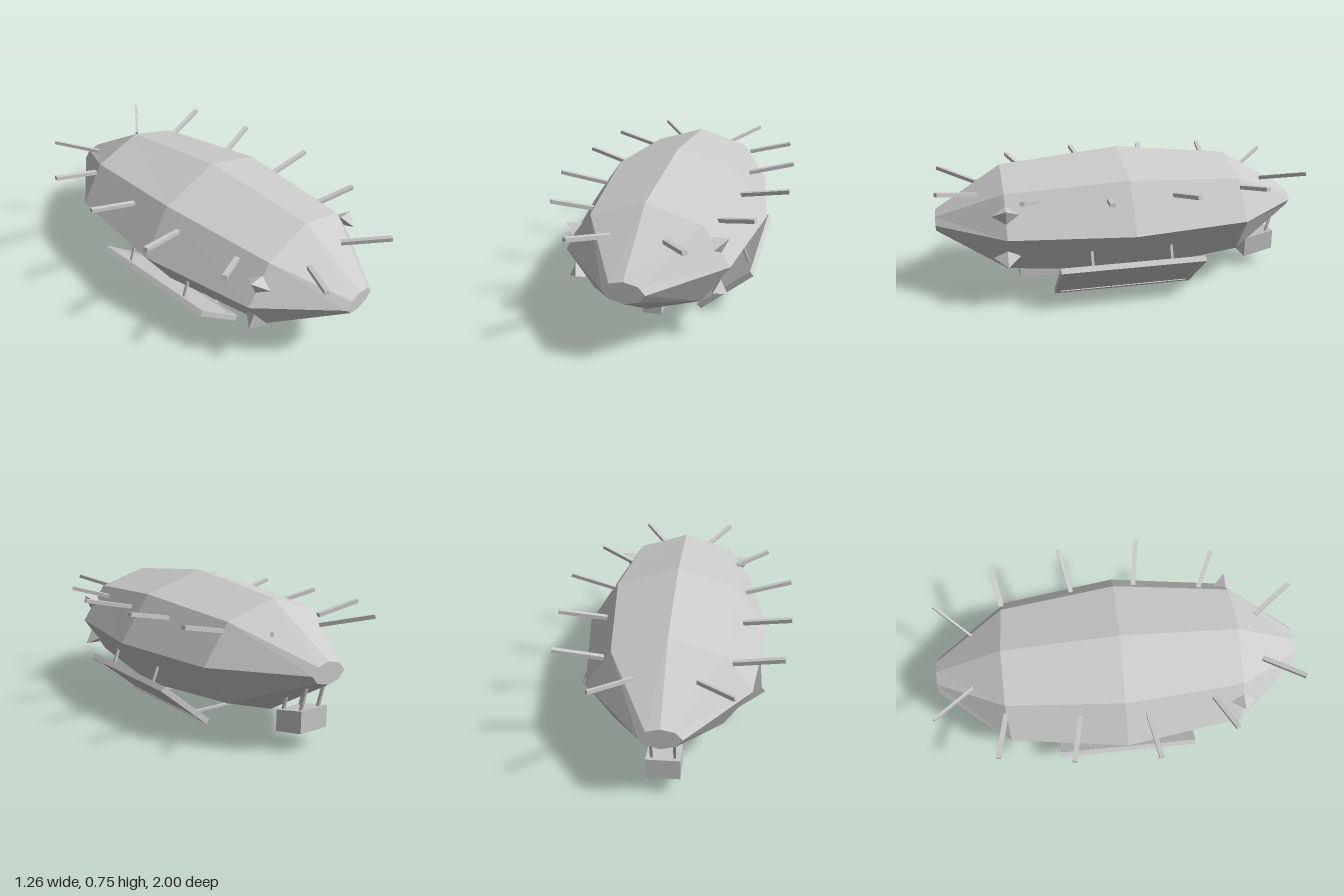
import * as THREE from 'three';

const mat = new THREE.MeshStandardMaterial({ color: 0xcccccc, flatShading: true, side: THREE.DoubleSide });

function add(parent, name, geometry, x = 0, y = 0, z = 0) {
  const mesh = new THREE.Mesh(geometry, mat);
  mesh.name = name;
  mesh.position.set(x, y, z);
  parent.add(mesh);
  return mesh;
}

// Straight box-section bar from a to b
function beam(parent, name, a, b, w, h) {
  const p = new THREE.Vector3(...a), q = new THREE.Vector3(...b);
  const mid = p.clone().add(q).multiplyScalar(0.5);
  const mesh = add(parent, name, new THREE.BoxGeometry(w, h, p.distanceTo(q)), mid.x, mid.y, mid.z);
  mesh.lookAt(q);
  return mesh;
}

// Faceted eight-sided hull lofted through five cross-sections, capped at both ends
function hullGeometry() {
  const section = [[1, 0], [0.67, 0.7], [0, 1], [-0.67, 0.7], [-1, 0], [-0.67, -0.7], [0, -1], [0.67, -0.7]];
  const rings = [ // z, half width, half height
    [-1, 0.1, 0.055], [-0.61, 0.41, 0.285], [0.015, 0.5, 0.35], [0.65, 0.41, 0.285], [1, 0.1, 0.055],
  ];
  const n = section.length, pos = [], index = [];
  for (const [z, w, h] of rings) for (const [x, y] of section) pos.push(x * w, 0.398 + y * h, z);
  for (let i = 0; i < rings.length - 1; i++) {
    for (let j = 0; j < n; j++) {
      const a = i * n + j, b = i * n + (j + 1) % n;
      index.push(a, b, b + n, a, b + n, a + n);
    }
  }
  const last = (rings.length - 1) * n;
  for (let j = 1; j < n - 1; j++) index.push(0, j + 1, j, last, last + j, last + j + 1);
  const g = new THREE.BufferGeometry();
  g.setAttribute('position', new THREE.Float32BufferAttribute(pos, 3));
  g.setIndex(index);
  const flat = g.toNonIndexed();
  flat.computeVertexNormals();
  return flat;
}

// Framed panel: recessed plate with a raised rim
function sidePanel(s) {
  const g = new THREE.Group();
  g.name = 'sidePanel';
  const L = 0.355, D = 0.76, rim = 0.024, t = 0.03;
  add(g, 'panelPlate', new THREE.BoxGeometry(L - rim, 0.02, D - rim));
  for (const e of [-1, 1]) {
    add(g, 'panelRim', new THREE.BoxGeometry(rim, t, D), e * (L - rim) / 2, 0, 0);
    add(g, 'panelRim', new THREE.BoxGeometry(L - 2 * rim, t, rim), 0, 0, e * (D - rim) / 2);
  }
  g.position.set(s * 0.344, 0.127, 0.02);
  g.rotation.z = s * 0.7;
  return g;
}

export function createModel() {
  const model = new THREE.Group();
  model.name = 'airship';
  add(model, 'hull', hullGeometry());

  // Poles along each flank: inner x, z and outer x, z, width
  const poles = [
    [0.13, 0.78, 0.27, 0.98, 0.025], [0.32, 0.49, 0.51, 0.58, 0.025], [0.37, 0.13, 0.625, 0.17, 0.025],
    [0.36, -0.22, 0.605, -0.27, 0.025], [0.31, -0.61, 0.55, -0.65, 0.025], [0.15, -0.78, 0.32, -0.975, 0.013],
  ];
  for (const s of [-1, 1]) {
    for (const [x0, z0, x1, z1, w] of poles) {
      beam(model, 'pole', [s * x0, 0.56, z0], [s * x1, 0.615, z1], w, 0.02);
    }

    // Pyramid fins standing on the forward hull facets, above and below the waist
    for (const v of [-1, 1]) {
      const fin = add(model, 'fin', new THREE.ConeGeometry(1, 1, 4), s * 0.372, 0.398 + v * 0.128, 0.65);
      fin.scale.set(0.045, 0.07, 0.07);
      fin.quaternion.setFromUnitVectors(
        new THREE.Vector3(0, 1, 0), new THREE.Vector3(s * 0.85, v * 0.53, 0).normalize());
    }

    // Side panels and the struts holding them
    model.add(sidePanel(s));
    for (const z of [0.23, -0.19]) {
      beam(model, 'panelStrut', [s * 0.44, 0.215, z], [s * 0.405, 0.305, z], 0.013, 0.013);
    }
  }

  // Cross rods joining the lower panel edges
  for (const z of [0.23, -0.19]) {
    add(model, 'crossRod', new THREE.BoxGeometry(0.43, 0.014, 0.014), 0, 0.01, z);
  }

  // Box under the bow
  add(model, 'bowBox', new THREE.BoxGeometry(0.1, 0.075, 0.2), 0, 0.077, 0.47);

  // Sloping box hung under the stern on four struts
  const stern = new THREE.BoxGeometry(0.165, 0.11, 0.17);
  const p = stern.attributes.position;
  for (let i = 0; i < p.count; i++) p.setY(i, p.getY(i) - p.getZ(i) * 0.23);
  stern.computeVertexNormals();
  add(model, 'sternBox', stern, 0, 0.133, -0.835);
  for (const x of [-0.055, 0.055]) {
    beam(model, 'sternStrut', [x, 0.19, -0.885], [x, 0.32, -0.92], 0.013, 0.013);
    beam(model, 'sternStrut', [x, 0.16, -0.765], [x, 0.25, -0.79], 0.013, 0.013);
  }
  return model;
}
